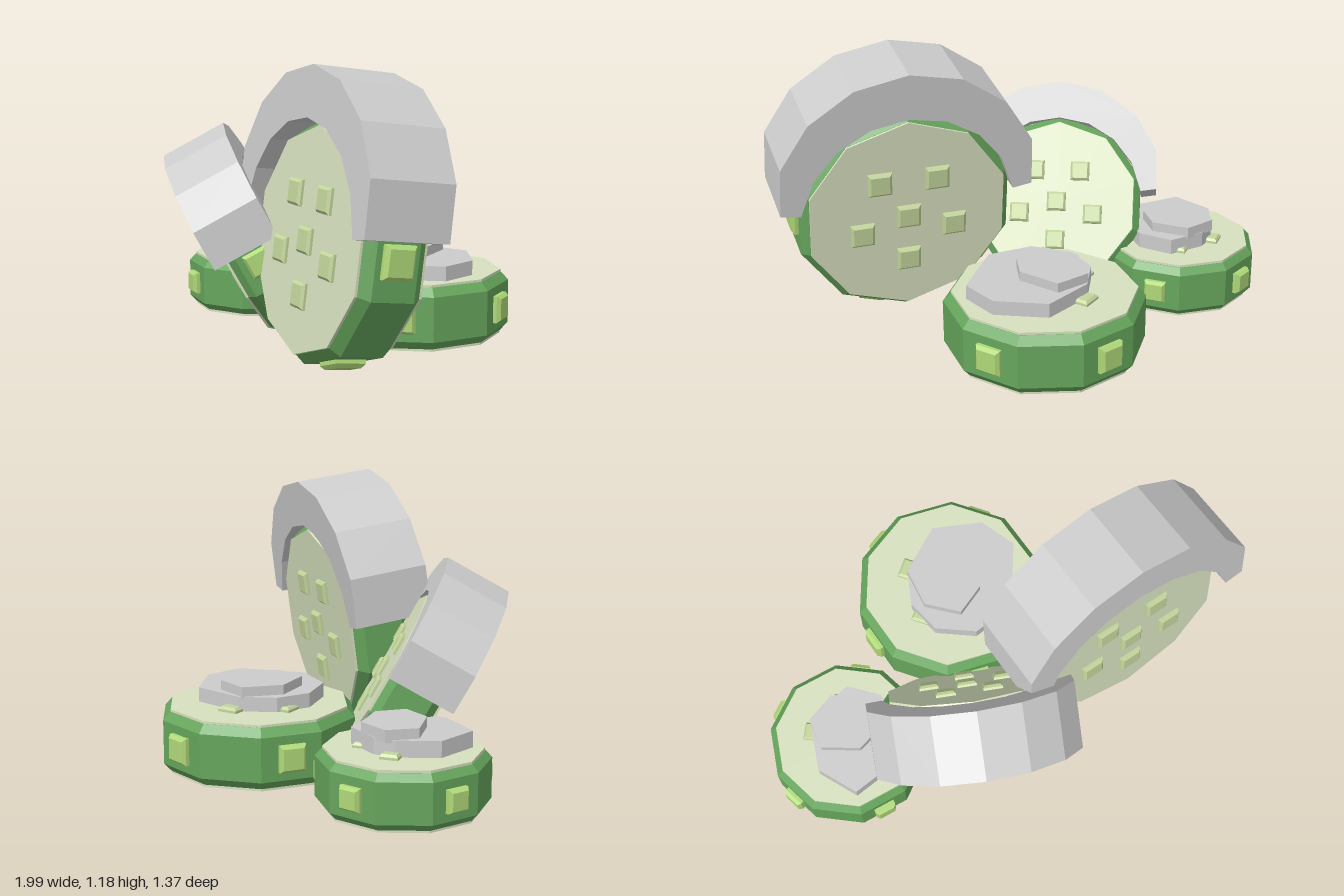
import * as THREE from 'three';

const material = (color) => new THREE.MeshStandardMaterial({ color, flatShading: true });
const green = material(0x66a55c);
const pale = material(0xd6e0be);
const paleKnob = material(0xc3d59b);
const limeKnob = material(0xafd878);
const snow = material(0xcccccc);

const SIDES = 10;

function addMesh(parent, name, geometry, mat) {
  const mesh = new THREE.Mesh(geometry, mat);
  mesh.name = name;
  parent.add(mesh);
  return mesh;
}

// Faceted solid of revolution whose axis points along +z
function turned(points, sides) {
  const profile = points.map(([x, y]) => new THREE.Vector2(x, y));
  return new THREE.LatheGeometry(profile, sides).rotateX(Math.PI / 2);
}

// Square stud with chamfered top, rising along +z
function stud(width, height) {
  const r = width * Math.SQRT1_2;
  const g = turned([[r, -0.02], [r, height * 0.5], [r * 0.78, height], [0, height]], 4);
  return g.rotateZ(Math.PI / 4);
}

// Ten-sided pad facing +z, with pale faces and studs on faces and rim
function makePad(name, R, half) {
  const pad = new THREE.Group();
  pad.name = name;
  const h = half - 0.01;
  const c = R * 0.075;
  addMesh(pad, 'padRim', turned(
    [[0, -h], [R - c, -h], [R, -h + c * 1.1], [R, h - c * 1.1], [R - c, h], [0, h]], SIDES), green);
  const f = R * 0.94 - 0.008;
  addMesh(pad, 'padFaces', turned([[0, -half], [f, -half], [f, half], [0, half]], SIDES), pale);

  const faceStud = stud(R * 0.215, 0.02);
  for (const side of [1, -1]) {
    for (let i = 0; i <= 5; i++) {
      const a = THREE.MathUtils.degToRad(54 + 72 * i);
      const r = i === 5 ? 0 : R * 0.44;
      const m = addMesh(pad, 'faceStud', faceStud, paleKnob);
      m.position.set(Math.cos(a) * r, Math.sin(a) * r, side * half);
      if (side < 0) m.rotation.y = Math.PI;
    }
  }
  const rimStud = stud(R * 0.27, 0.03).rotateY(Math.PI / 2);
  const apothem = R * Math.cos(Math.PI / SIDES);
  for (let i = 0; i < 5; i++) {
    const a = (i * Math.PI * 2) / 5;
    const m = addMesh(pad, 'rimStud', rimStud, limeKnob);
    m.position.set(Math.cos(a) * apothem, Math.sin(a) * apothem, 0);
    m.rotation.z = a;
  }
  return pad;
}

// Crescent of snow draped over the top of a standing pad
function snowArc(R, depth) {
  const outer = [];
  const inner = [];
  const n = 8;
  for (let i = 0; i <= n; i++) {
    const a = THREE.MathUtils.degToRad(9 + (162 * i) / n);
    const swell = Math.pow(Math.sin((Math.PI * i) / n), 0.6);
    const r = R * (1.15 + 0.24 * swell);
    outer.push(new THREE.Vector2(Math.cos(a) * r, Math.sin(a) * r));
    inner.unshift(new THREE.Vector2(Math.cos(a) * R * 0.97, Math.sin(a) * R * 0.97));
  }
  const g = new THREE.ExtrudeGeometry(new THREE.Shape([...outer, ...inner]), { depth, bevelEnabled: false });
  return g.translate(0, 0, -depth / 2 + 0.02);
}

// Flat slab of snow from an outline of [x, z] points
function snowSlab(points, y0, y1) {
  const shape = new THREE.Shape(points.map(([x, z]) => new THREE.Vector2(x, -z)));
  const g = new THREE.ExtrudeGeometry(shape, { depth: y1 - y0, bevelEnabled: false });
  return g.rotateX(-Math.PI / 2).translate(0, y0, 0);
}

export function createModel() {
  const model = new THREE.Group();
  model.name = 'snowyCactusPads';
  const deg = THREE.MathUtils.degToRad;

  // Standing pads with snow on top
  const standing = [
    { name: 'largeStandingPad', R: 0.465, half: 0.135, depth: 0.34, pos: [0.45, 0.515, 0.385], yaw: -13.4, pitch: -7.5 },
    { name: 'smallStandingPad', R: 0.375, half: 0.12, depth: 0.28, pos: [-0.24, 0.385, 0.225], yaw: -38, pitch: 29 },
  ];
  for (const s of standing) {
    const pad = makePad(s.name, s.R, s.half);
    addMesh(pad, 'snowCap', snowArc(s.R, s.depth), snow);
    pad.rotation.order = 'YXZ';
    pad.rotation.set(deg(s.pitch), deg(s.yaw), 0);
    pad.position.set(...s.pos);
    model.add(pad);
  }

  // Lying pads
  const lying = [
    { name: 'largeLyingPad', R: 0.41, half: 0.135, pos: [0.15, 0.155, -0.265], turn: 24 },
    { name: 'smallLyingPad', R: 0.335, half: 0.118, pos: [-0.645, 0.147, -0.11], turn: 36 },
  ];
  for (const l of lying) {
    const pad = makePad(l.name, l.R, l.half);
    pad.rotation.order = 'YXZ';
    pad.rotation.set(Math.PI / 2, deg(l.turn), 0);
    pad.position.set(...l.pos);
    model.add(pad);
  }

  // Two-step snow heaps on the lying pads
  addMesh(model, 'largeSnowBase', snowSlab([[0.05, -0.42], [0.27, -0.48], [0.44, -0.34], [0.46, -0.17],
    [0.24, 0.02], [0.05, -0.01], [-0.06, -0.15], [-0.05, -0.3]], 0.28, 0.35), snow);
  addMesh(model, 'largeSnowTop', snowSlab([[0.04, -0.41], [0.19, -0.42], [0.26, -0.25], [0.2, -0.13],
    [0.06, -0.11], [-0.02, -0.25]], 0.34, 0.39), snow);
  addMesh(model, 'smallSnowBase', snowSlab([[-0.74, -0.22], [-0.66, -0.26], [-0.5, -0.25], [-0.43, -0.12],
    [-0.47, 0.04], [-0.6, 0.13], [-0.8, 0.1], [-0.84, -0.08]], 0.255, 0.33), snow);
  addMesh(model, 'smallSnowTop', snowSlab([[-0.72, -0.25], [-0.58, -0.26], [-0.49, -0.13], [-0.53, -0.01],
    [-0.66, -0.01], [-0.77, -0.13]], 0.32, 0.37), snow);

  return model;
}
